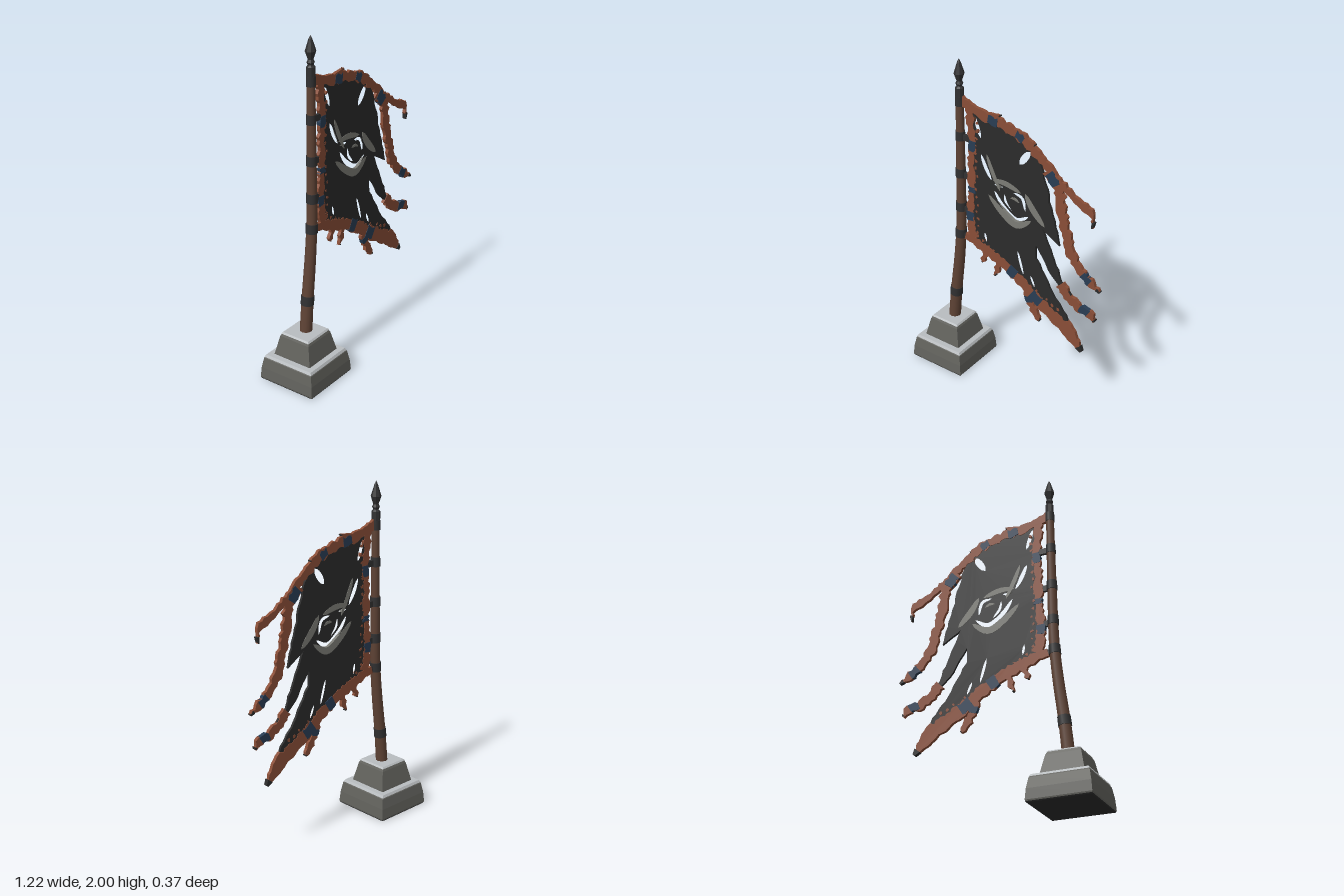
import * as THREE from 'three';

const mat = (name, color) => {
  const m = new THREE.MeshStandardMaterial({ color });
  m.name = name;
  return m;
};

export function createModel() {
  const root = new THREE.Group();
  root.name = 'tatteredBanner';
  const stone = mat('stone', 0x62625d), paleStone = mat('pale stone', 0xb9bdc0);
  const wood = mat('wood', 0x5f4335), iron = mat('dark iron', 0x313132);
  const cloth = mat('black cloth', 0x2b2b2b), rust = mat('rust trim', 0x8a4e37);
  const blue = mat('blue patch', 0x293d54), grey = mat('grey emblem', 0x7c7c76);

  const add = (name, geo, material, parent = root) => {
    const m = new THREE.Mesh(geo, material);
    m.name = name;
    parent.add(m);
    return m;
  };

  // Stepped stone base
  const faceted = (profile, sides, start = 0) => {
    const geo = new THREE.LatheGeometry(profile.map(p => new THREE.Vector2(...p)), sides, start).toNonIndexed();
    geo.computeVertexNormals();
    return geo;
  };
  const tier = (name, material, profile) => {
    const corners = profile.map(([r, y]) => [r * Math.SQRT2, y]);
    add(name, faceted(corners, 4, Math.PI / 4), material).position.x = -0.43;
  };
  tier('underside', cloth, [[0, 0], [0.177, 0], [0.181, 0.006]]);
  tier('lowerBase', stone, [[0.181, 0.006], [0.183, 0.014], [0.178, 0.075], [0.167, 0.135], [0.155, 0.152], [0, 0.152]]);
  tier('upperBase', stone, [[0.128, 0.14], [0.123, 0.165], [0.1, 0.27], [0.09, 0.29], [0, 0.29]]);
  tier('lowerBaseTop', paleStone, [[0.166, 0.141], [0.158, 0.155], [0, 0.155]]);
  tier('upperBaseTop', paleStone, [[0.097, 0.285], [0.089, 0.294], [0, 0.294]]);

  // Bent wooden pole, thinner towards the top
  const path = new THREE.CatmullRomCurve3([[-0.425, 0.27], [-0.405, 0.48], [-0.372, 0.75], [-0.356, 0.95], [-0.35, 1.3], [-0.346, 1.83]]
    .map(([x, y]) => new THREE.Vector3(x, y, 0)));
  const radiusAt = t => 0.036 - 0.014 * t;
  const rings = 30, sides = 12;
  const pole = new THREE.TubeGeometry(path, rings, 1, sides);
  const pos = pole.attributes.position, v = new THREE.Vector3();
  for (let i = 0; i < pos.count; i++) {
    const t = Math.floor(i / (sides + 1)) / rings, c = path.getPointAt(t);
    v.fromBufferAttribute(pos, i).sub(c).multiplyScalar(radiusAt(t)).add(c);
    pos.setXYZ(i, v.x, v.y, v.z);
  }
  add('pole', pole, wood);

  // Dark bindings round the pole, most of them tied to the flag
  [0.48, 0.9, 1.08, 1.3, 1.54, 1.75].forEach((y, i) => {
    let t = 0;
    while (t < 1 && path.getPointAt(t).y < y) t += 0.005;
    const r = radiusAt(t) + 0.003;
    const band = add('binding', new THREE.CylinderGeometry(r, r + 0.001, 0.055, 12), iron);
    band.position.copy(path.getPointAt(t));
    band.quaternion.setFromUnitVectors(new THREE.Vector3(0, 1, 0), path.getTangentAt(t));
    if (i) add('tie', new THREE.BoxGeometry(0.07, 0.035, 0.018), iron).position.set(-0.31, y - 0.005, 0);
  });

  // Spear point with its socket
  const tip = [[0, 1.76], [0.025, 1.76], [0.025, 1.83], [0.015, 1.84], [0.022, 1.855], [0.015, 1.87], [0.03, 1.915], [0.01, 1.98], [0, 2]];
  add('spearPoint', faceted(tip, 8), iron).position.x = -0.346;

  // Seeded noise for torn edges
  let seed = 7;
  const noise = amount => {
    seed = (seed * 16807) % 2147483647;
    return (seed / 2147483647 - 0.5) * amount;
  };
  const points = flat => Array.from({ length: flat.length / 2 }, (_, i) => new THREE.Vector2(flat[2 * i] / 100, flat[2 * i + 1] / 100));

  // Outline of a strip along a centre line (hundredths), widthAt giving its half width
  const strip = (flat, widthAt, from = 0, to = 1, torn = 0) => {
    const curve = new THREE.SplineCurve(points(flat)), left = [], right = [];
    const n = Math.max(3, Math.ceil(curve.getLength() * (to - from) / 0.02));
    for (let i = 0; i <= n; i++) {
      const t = from + (to - from) * i / n, p = curve.getPointAt(t), d = curve.getTangentAt(t);
      const side = new THREE.Vector2(-d.y, d.x), w = widthAt(t);
      left.push(p.clone().addScaledVector(side, w + noise(torn)));
      right.unshift(p.clone().addScaledVector(side, -w - noise(torn)));
    }
    return [...left, ...right];
  };
  const lens = (flat, w) => strip(flat, t => 0.0006 + w * Math.sqrt(Math.sin(Math.PI * t)));

  const flag = new THREE.Group();
  flag.name = 'flag';
  root.add(flag);
  const sheet = (name, material, depth, outline, holes = []) => {
    const shape = new THREE.Shape(outline);
    shape.holes = holes.map(h => new THREE.Path(h));
    const geo = new THREE.ExtrudeGeometry(shape, { depth, bevelEnabled: false });
    geo.translate(0, 0, -depth / 2);
    add(name, geo, material, flag);
  };

  // Main cloth with frayed edges, torn slits and the openings of the eye
  const corners = points([-27, 171, -7, 168, 9, 163, 20, 153, 24, 139, 33, 107, 21, 114, 28, 99, 35, 84, 42, 77,
    37, 75, 24, 92, 17, 102, 18, 92, 31, 71, 39, 62, 44, 50, 22, 64, 1, 78, -28, 92]);
  const frayed = corners.flatMap((a, i) => {
    const b = corners[(i + 1) % corners.length], n = Math.max(1, Math.round(a.distanceTo(b) / 0.035));
    return Array.from({ length: n }, (_, k) => a.clone().lerp(b, k / n).add(new THREE.Vector2(noise(0.012), noise(0.012))));
  });
  sheet('cloth', cloth, 0.014, frayed, [
    lens([-24, 169, -20, 157], 0.012),
    lens([13, 159, 6, 149], 0.02),
    lens([-20, 147, -17, 140, -13, 133], 0.013),
    lens([-11, 131, -5, 131], 0.009),
    lens([-11, 127, -5, 119, 4, 113.5, 12, 118], 0.015),
    lens([-4, 127, -3, 122, 1, 117.5], 0.008),
    lens([2, 130, 8, 128.5, 10, 121], 0.01),
    lens([5, 93, 9, 79], 0.008),
    lens([-18, 97, -17, 91], 0.007),
    lens([14, 80, 17, 73], 0.007),
  ]);

  // Eye emblem, showing on both faces
  const mark = (name, flat, w) => sheet(name, grey, 0.018, lens(flat, w));
  mark('emblemSlash', [-16, 148, -12.5, 139, -7, 128], 0.013);
  mark('upperLid', [-12, 133.5, -3, 134, 7, 131.5], 0.016);
  mark('lowerLid', [-15, 123, -6, 115, 4, 110, 14, 116], 0.022);
  mark('eyeTail', [10, 132, 15, 124, 23, 115.5], 0.021);
  mark('eyeGlint', [0, 126, 3, 126.5, 6, 125], 0.008);

  // Rust ribbons with torn blue patches (start, end) and charred tips
  const ribbon = (name, flat, w0, w1, patches = [], tail = true) => {
    const widthAt = t => (w0 + (w1 - w0) * t) * (tail ? Math.min(1, 0.15 + (1 - t) * 8) : 1);
    sheet(name, rust, 0.02, strip(flat, widthAt, 0, 1, 0.02));
    patches.forEach(([from, to]) => sheet('bluePatch', blue, 0.023, strip(flat, t => widthAt(t) * 0.95, from, to, 0.015)));
    if (tail) sheet('charredTip', cloth, 0.024, strip(flat, t => widthAt(t) + 0.001, 0.965, 1));
  };
  ribbon('topTrim', [-33, 176, -18, 171, 0, 168, 14, 161, 28, 150, 42, 140, 53, 134, 53.5, 126], 0.029, 0.018,
    [[0.18, 0.24], [0.36, 0.41]]);
  ribbon('poleTrim', [-28, 173, -26, 155, -27, 140, -27, 120, -28, 105, -26, 91], 0.022, 0.024,
    [[0.24, 0.32], [0.6, 0.64], [0.8, 0.87]], false);
  ribbon('bottomTrim', [-32, 90, -15, 85, 2, 77, 18, 66, 33, 57, 40, 53, 49.5, 42], 0.028, 0.046,
    [[0.34, 0.4], [0.54, 0.62]]);
  ribbon('longRibbon', [24, 151, 31, 143, 33, 134, 36, 119, 41, 104, 48, 95, 60, 87], 0.033, 0.024, [[0.02, 0.12], [0.82, 0.9]]);
  ribbon('shortRibbon', [34, 82, 41, 75, 48, 71, 53, 71, 57.5, 66.5], 0.03, 0.024, [[0.58, 0.8]]);
  ribbon('tatter', [12, 68, 15, 59, 20.5, 51], 0.03, 0.012, [[0.15, 0.35]]);
  ribbon('tatter', [-8, 81, -11, 70], 0.025, 0.01);
  ribbon('tatter', [-17, 86, -20, 76], 0.025, 0.01);
  ribbon('tatter', [4, 167, 10, 166, 16, 163.5], 0.02, 0.01);
  ribbon('tatter', [-16, 172, -11, 173, -7, 174], 0.014, 0.008);

  // Flecks of rust on the cloth above the bottom trim and beside the pole trim
  const fleck = (x, y) => {
    const outline = Array.from({ length: 6 }, (_, k) => {
      const r = 0.009 + noise(0.01);
      return new THREE.Vector2(x + r * Math.cos(k * Math.PI / 3), y + r * Math.sin(k * Math.PI / 3));
    });
    sheet('rustFleck', rust, 0.017, outline);
  };
  for (let i = 0; i < 16; i++) {
    const s = i / 15;
    fleck(-0.23 + 0.56 * s, 0.92 - 0.29 * s + noise(0.03));
    fleck(-0.235 + noise(0.02), 1.65 - 0.7 * s);
  }

  return root;
}
